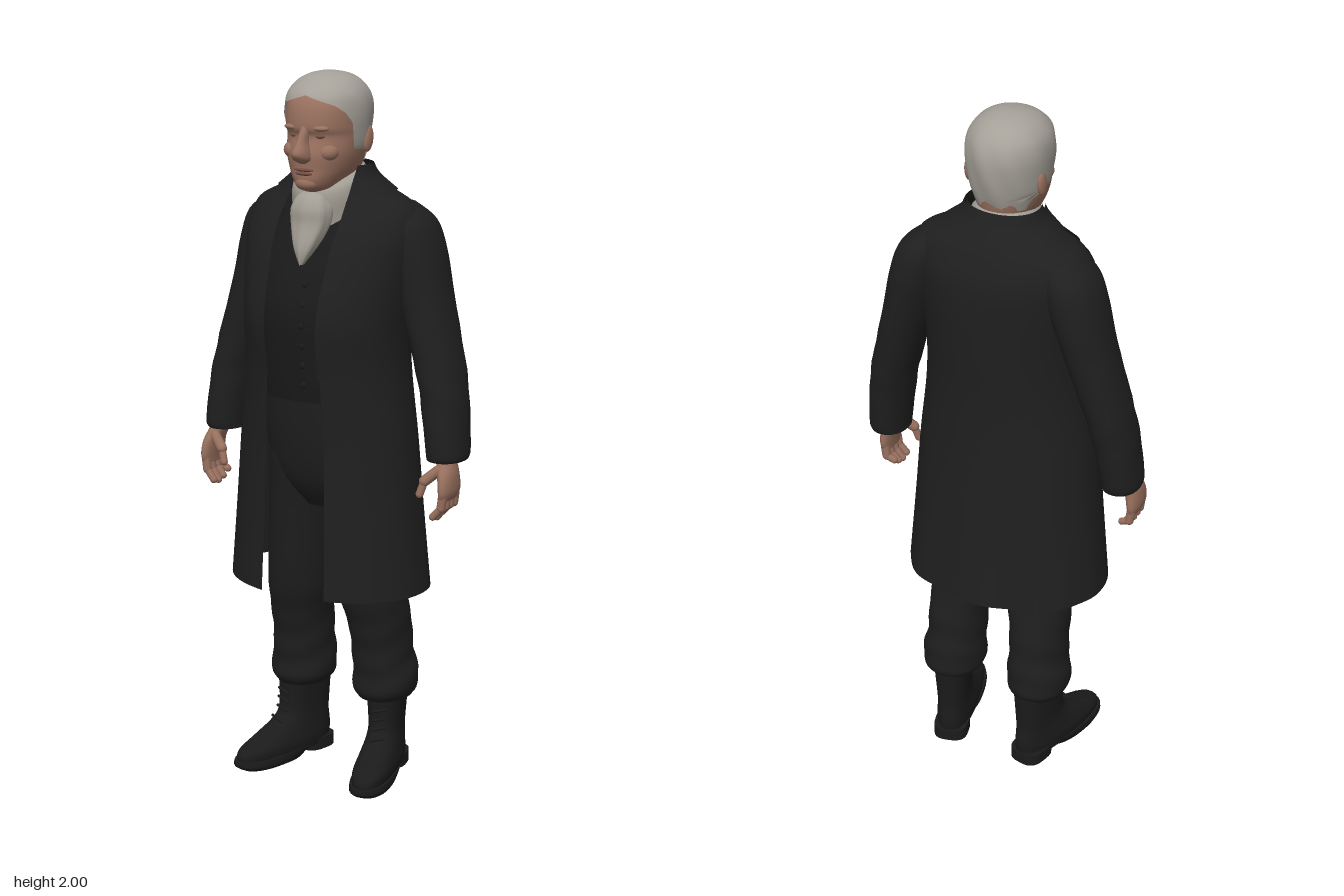
import * as THREE from 'three';

const mat = (name, color, side = THREE.FrontSide) => {
  const m = new THREE.MeshStandardMaterial({ color, side });
  m.name = name;
  return m;
};

// piecewise linear lookup in [[y, value], ...]
const table = (rows) => (y) => {
  if (y <= rows[0][0]) return rows[0][1];
  for (let i = 1; i < rows.length; i++) {
    const [y0, a] = rows[i - 1], [y1, b] = rows[i];
    if (y <= y1) return a + (b - a) * (y - y0) / (y1 - y0);
  }
  return rows[rows.length - 1][1];
};

const smooth = (a, b, c, d, t) =>
  b + 0.5 * t * (c - a + t * (2 * a - 5 * b + 4 * c - d + t * (3 * (b - c) + d - a)));

// Smooth skin through level rings [y, x, halfWidth, zFront, zBack], listed upwards.
// from/to give the angle range at a height (0 = front, PI/2 = left side).
function loft(rings, { seg = 32, steps = 5, n = 2.1, from, to, grow = 0, warp } = {}) {
  const pos = [], idx = [], rows = [];
  const at = (i) => rings[Math.min(Math.max(i, 0), rings.length - 1)];
  for (let i = 0; i < rings.length - 1; i++)
    for (let s = 0; s < steps; s++)
      rows.push(at(i).map((_, k) => smooth(at(i - 1)[k], at(i)[k], at(i + 1)[k], at(i + 2)[k], s / steps)));
  rows.push(at(rings.length - 1));
  const open = !!from, cols = open ? seg + 1 : seg;
  const pow = (v) => Math.sign(v) * Math.abs(v) ** (2 / n);
  for (const [y, x, rx, zf, zb] of rows) {
    const t0 = open ? from(y, rx) : 0, t1 = open ? to(y, rx) : Math.PI * 2;
    for (let j = 0; j < cols; j++) {
      const t = t0 + (t1 - t0) * j / seg, w = 1 + (warp ? warp(t, y) : 0);
      pos.push(x + (rx + grow) * w * pow(Math.sin(t)), y,
        (zf + zb) / 2 + ((zf - zb) / 2 + grow) * w * pow(Math.cos(t)));
    }
  }
  for (let i = 0; i < rows.length - 1; i++)
    for (let j = 0; j < seg; j++) {
      const a = i * cols + j, b = i * cols + (j + 1) % cols;
      idx.push(a, b, b + cols, a, b + cols, a + cols);
    }
  if (!open) for (const top of [false, true]) {
    const r = top ? rows.length - 1 : 0, base = pos.length / 3, [y, x, , zf, zb] = rows[r];
    for (let j = 0; j < cols; j++) pos.push(...pos.slice((r * cols + j) * 3, (r * cols + j) * 3 + 3));
    pos.push(x, y, (zf + zb) / 2);
    for (let j = 0; j < cols; j++) {
      const a = base + j, b = base + (j + 1) % cols;
      idx.push(base + cols, top ? a : b, top ? b : a);
    }
  }
  const g = new THREE.BufferGeometry();
  g.setAttribute('position', new THREE.Float32BufferAttribute(pos, 3));
  g.setIndex(idx);
  g.computeVertexNormals();
  return g;
}

export function createModel() {
  const cloth = mat('black coat cloth', 0x1f1f20, THREE.DoubleSide);
  const vestCloth = mat('waistcoat black', 0x1a1a1b);
  const trouserCloth = mat('trouser black', 0x1e1e1e);
  const leather = mat('boot leather', 0x1b1b1b);
  const linen = mat('cravat linen', 0xa39e94);
  const hairGrey = mat('grey hair', 0xa5a098, THREE.DoubleSide);
  const skin = mat('skin', 0x98705e);
  const lipTone = mat('lips and lids', 0x714c40);

  const model = new THREE.Group();
  const add = (name, geo, material, parent = model) => {
    const m = new THREE.Mesh(geo, material);
    m.name = name;
    parent.add(m);
    return m;
  };
  const blob = (name, material, p, s, parent) => {
    const m = add(name, new THREE.SphereGeometry(1, 18, 12), material, parent);
    m.position.set(...p);
    m.scale.set(...s);
    return m;
  };
  const bone = (name, material, a, b, r, parent) => {
    const A = new THREE.Vector3(...a), d = new THREE.Vector3(...b).sub(A);
    const m = add(name, new THREE.CapsuleGeometry(r, d.length(), 4, 10), material, parent);
    m.position.copy(A).addScaledVector(d, 0.5);
    m.quaternion.setFromUnitVectors(new THREE.Vector3(0, 1, 0), d.normalize());
  };

  // frock coat, open down the front, with soft folds towards the hem
  const coat = [
    [0.575, 0, 0.295, 0.225, -0.215], [0.8, 0, 0.275, 0.215, -0.195], [1.0, 0, 0.258, 0.21, -0.182],
    [1.2, 0, 0.235, 0.217, -0.178], [1.35, 0, 0.235, 0.23, -0.183], [1.5, 0, 0.25, 0.185, -0.186],
    [1.58, 0, 0.255, 0.145, -0.18], [1.64, 0, 0.235, 0.1, -0.158], [1.68, 0, 0.165, 0.08, -0.138],
    [1.72, 0, 0.115, 0.07, -0.112], [1.75, 0, 0.1, 0.06, -0.095]];
  const gap = table([[0.58, 0.1], [1.0, 0.092], [1.2, 0.082], [1.4, 0.085], [1.6, 0.098], [1.72, 0.09]]);
  const edge = (y, rx) => Math.asin(Math.min(0.95, gap(y) / rx) ** 1.05);
  const folds = (t, y) => Math.max(0, 1.15 - y) * 0.045 * Math.cos(t * 8) * Math.max(0, -Math.cos(t));
  add('coat', loft(coat, { seg: 72, from: edge, to: (y, rx) => 2 * Math.PI - edge(y, rx), warp: folds }), cloth);

  // lapels with a notch, then the collar round the back of the neck
  const lapel = coat.slice(3, 10);
  const lapelWidth = table([[1.2, 0], [1.3, 0.16], [1.5, 0.36], [1.595, 0.48], [1.605, 0.3], [1.65, 0.42], [1.72, 0.5]]);
  for (const side of [1, -1])
    add(side > 0 ? 'leftLapel' : 'rightLapel', loft(lapel, {
      seg: 8, steps: 8, grow: 0.008, from: (y, rx) => edge(y, rx) - 0.02, to: (y, rx) => edge(y, rx) + lapelWidth(y),
    }), cloth).scale.x = side;
  add('collar', loft(coat.slice(8), {
    seg: 40, grow: 0.009, from: edge, to: (y, rx) => 2 * Math.PI - edge(y, rx),
  }), cloth);
  add('breastPocket', loft([[1.41, 0, 0.24, 0.217, -0.18], [1.43, 0, 0.243, 0.211, -0.18]], {
    seg: 8, grow: 0.005, from: () => 0.72, to: () => 1.02,
  }), cloth);

  // waistcoat and its buttons
  add('waistcoat', loft([
    [1.12, 0, 0.19, 0.18, -0.14], [1.2, 0, 0.195, 0.19, -0.14], [1.35, 0, 0.2, 0.2, -0.14],
    [1.45, 0, 0.2, 0.175, -0.14], [1.53, 0, 0.19, 0.14, -0.13], [1.62, 0, 0.15, 0.085, -0.11]]), vestCloth);
  const vestFront = table([[1.12, 0.18], [1.2, 0.19], [1.35, 0.2], [1.45, 0.175]]);
  for (let i = 0; i < 6; i++) {
    const y = 1.17 + i * 0.055;
    blob('waistcoatButton', leather, [0.02, y, vestFront(y)], [0.009, 0.009, 0.005]);
  }

  // cravat: neck wrap, raised at the nape, and the front fall
  const wrap = loft([
    [1.57, 0, 0.1, 0.1, -0.08], [1.64, 0, 0.1, 0.11, -0.088], [1.69, 0, 0.1, 0.118, -0.094],
    [1.72, 0, 0.095, 0.115, -0.094], [1.735, 0, 0.08, 0.1, -0.08]]);
  const p = wrap.attributes.position;
  for (let i = 0; i < p.count; i++) p.setY(i, p.getY(i) - p.getZ(i) * 0.3);
  wrap.computeVertexNormals();
  add('cravatWrap', wrap, linen);
  add('cravatFall', loft([
    [1.495, 0, 0.006, 0.172, 0.13], [1.54, 0, 0.032, 0.172, 0.1], [1.6, 0, 0.055, 0.155, 0.07],
    [1.64, 0, 0.058, 0.152, 0.06], [1.67, 0, 0.045, 0.138, 0.06], [1.685, 0, 0.03, 0.115, 0.06]],
  { warp: (t) => 0.04 * Math.cos(7 * t) }), linen);

  // head
  const head = new THREE.Group();
  head.name = 'head';
  model.add(head);
  add('face', loft([
    [1.62, 0, 0.065, 0.07, -0.07], [1.68, 0, 0.05, 0.11, -0.075], [1.698, 0, 0.058, 0.143, -0.078],
    [1.72, 0, 0.07, 0.153, -0.082], [1.75, 0, 0.085, 0.152, -0.09], [1.79, 0, 0.096, 0.153, -0.097],
    [1.835, 0, 0.1, 0.142, -0.1], [1.863, 0, 0.101, 0.151, -0.1], [1.92, 0, 0.1, 0.14, -0.1],
    [1.96, 0, 0.08, 0.105, -0.08], [1.98, 0, 0.04, 0.06, -0.03]], { seg: 40, n: 2.2 }), skin, head);
  add('nose', loft([
    [1.766, 0, 0.01, 0.158, 0.13], [1.778, 0, 0.023, 0.184, 0.12], [1.797, 0, 0.022, 0.196, 0.12],
    [1.825, 0, 0.014, 0.178, 0.12], [1.855, 0, 0.012, 0.158, 0.12], [1.87, 0, 0.008, 0.148, 0.12]],
  { seg: 16 }), skin, head);
  blob('upperLip', lipTone, [0, 1.749, 0.148], [0.03, 0.005, 0.01], head);
  blob('lowerLip', lipTone, [0, 1.739, 0.148], [0.026, 0.006, 0.01], head);
  blob('chin', skin, [0, 1.712, 0.13], [0.035, 0.022, 0.027], head);
  for (const s of [1, -1]) {
    blob('eye', lipTone, [s * 0.037, 1.838, 0.127], [0.016, 0.007, 0.012], head);
    blob('brow', skin, [s * 0.038, 1.86, 0.132], [0.03, 0.009, 0.016], head);
    blob('cheek', skin, [s * 0.05, 1.795, 0.108], [0.032, 0.026, 0.032], head);
    blob('ear', skin, [s * 0.105, 1.82, -0.012], [0.011, 0.036, 0.021], head).rotation.x = -0.2;
  }
  // hair swept back from the forehead, with sideburns
  const hairline = table([[1.765, 2.1], [1.79, 1.95], [1.8, 1.3], [1.87, 1.22], [1.9, 1.0], [1.92, 0.75], [1.945, 0]]);
  add('hair', loft([
    [1.755, 0, 0.085, 0.1, -0.088], [1.8, 0, 0.103, 0.14, -0.103], [1.85, 0, 0.11, 0.153, -0.113],
    [1.9, 0, 0.113, 0.15, -0.115], [1.94, 0, 0.107, 0.14, -0.104], [1.97, 0, 0.087, 0.113, -0.08],
    [1.988, 0, 0.06, 0.08, -0.05], [1.997, 0, 0.03, 0.045, -0.015], [2.0, 0, 0.001, 0.016, 0.014]],
  { seg: 56, steps: 6, from: hairline, to: (y) => 2 * Math.PI - hairline(y),
    warp: (t, y) => 0.012 * Math.sin(9 * t + y * 30) * Math.min(1, (2 - y) * 12) }), hairGrey, head);

  // seat of the trousers
  add('trouserSeat', loft([
    [0.8, 0, 0.1, 0.08, -0.1], [0.88, 0, 0.165, 0.13, -0.13], [1.0, 0, 0.185, 0.155, -0.14],
    [1.16, 0, 0.185, 0.165, -0.14]]), trouserCloth);

  // limbs, built on the left and mirrored
  for (const side of [1, -1]) {
    const half = new THREE.Group();
    half.name = side > 0 ? 'leftLimbs' : 'rightLimbs';
    half.scale.x = side;
    model.add(half);

    add('sleeve', loft([
      [0.965, 0.355, 0.053, 0.05, -0.085], [0.99, 0.356, 0.056, 0.056, -0.093], [1.1, 0.342, 0.06, 0.052, -0.108],
      [1.2, 0.322, 0.063, 0.045, -0.122], [1.4, 0.265, 0.07, 0.038, -0.145], [1.52, 0.233, 0.076, 0.042, -0.155],
      [1.6, 0.212, 0.067, 0.035, -0.145], [1.648, 0.185, 0.035, 0, -0.105]],
    { warp: (t, y) => 0.025 * Math.sin(y * 55 + 2 * t) * Math.max(0, 1 - Math.abs(y - 1.2) * 5) }), cloth, half);

    // hand with curled fingers
    add('palm', loft([
      [0.865, 0.381, 0.014, 0.07, -0.022], [0.89, 0.383, 0.019, 0.077, -0.03], [0.93, 0.378, 0.022, 0.068, -0.028],
      [0.965, 0.366, 0.025, 0.045, -0.03], [1.0, 0.358, 0.027, 0.03, -0.04]], { seg: 20 }), skin, half);
    [0.06, 0.036, 0.011, -0.013].forEach((z, i) => {
      const tip = [0.808, 0.803, 0.81, 0.824][i];
      bone('fingerBase', skin, [0.382, 0.875, z], [0.378, 0.845, z], 0.0125, half);
      bone('fingerTip', skin, [0.378, 0.845, z], [0.355, tip + 0.01, z + 0.003], 0.0105, half);
    });
    bone('thumbBase', skin, [0.36, 0.945, 0.045], [0.327, 0.915, 0.062], 0.015, half);
    bone('thumbTip', skin, [0.327, 0.915, 0.062], [0.316, 0.878, 0.068], 0.011, half);

    // baggy trouser leg gathered over the boot
    add('trouserLeg', loft([
      [0.225, 0.135, 0.072, 0.015, -0.15], [0.25, 0.135, 0.088, 0.028, -0.17], [0.3, 0.135, 0.088, 0.03, -0.172],
      [0.36, 0.13, 0.082, 0.035, -0.162], [0.45, 0.127, 0.084, 0.052, -0.152], [0.55, 0.115, 0.092, 0.078, -0.132],
      [0.75, 0.098, 0.093, 0.1, -0.122], [0.95, 0.085, 0.09, 0.125, -0.12]],
    { warp: (t, y) => 0.025 * Math.sin(y * 70 + 3 * Math.cos(t)) * Math.max(0, 1 - Math.abs(y - 0.33) * 4) }), trouserCloth, half);

    // boot, toes turned out
    const boot = new THREE.Group();
    boot.name = 'boot';
    boot.position.set(0.135, 0, -0.09);
    boot.rotation.y = 0.24;
    half.add(boot);
    add('bootUpper', loft([
      [0.02, 0, 0.053, 0.275, -0.07], [0.05, 0, 0.056, 0.27, -0.075], [0.075, 0, 0.052, 0.215, -0.075],
      [0.11, 0, 0.047, 0.135, -0.07], [0.15, 0, 0.047, 0.102, -0.07], [0.25, 0, 0.055, 0.1, -0.075]],
    { n: 2.4 }), leather, boot);
    add('sole', loft([[0, 0, 0.054, 0.265, 0.04], [0.012, 0, 0.058, 0.283, 0.02], [0.028, 0, 0.058, 0.284, -0.03]],
      { n: 2.4 }), leather, boot);
    add('heel', loft([[0, 0, 0.05, 0.035, -0.077], [0.035, 0, 0.05, 0.04, -0.077]], { n: 3 }), leather, boot);
    for (let i = 0; i < 4; i++) {
      const y = 0.115 + i * 0.026, z = [0.128, 0.107, 0.102, 0.1][i];
      bone('lace', leather, [-0.018, y, z], [0.018, y + 0.01, z], 0.004, boot);
    }
  }
  return model;
}
